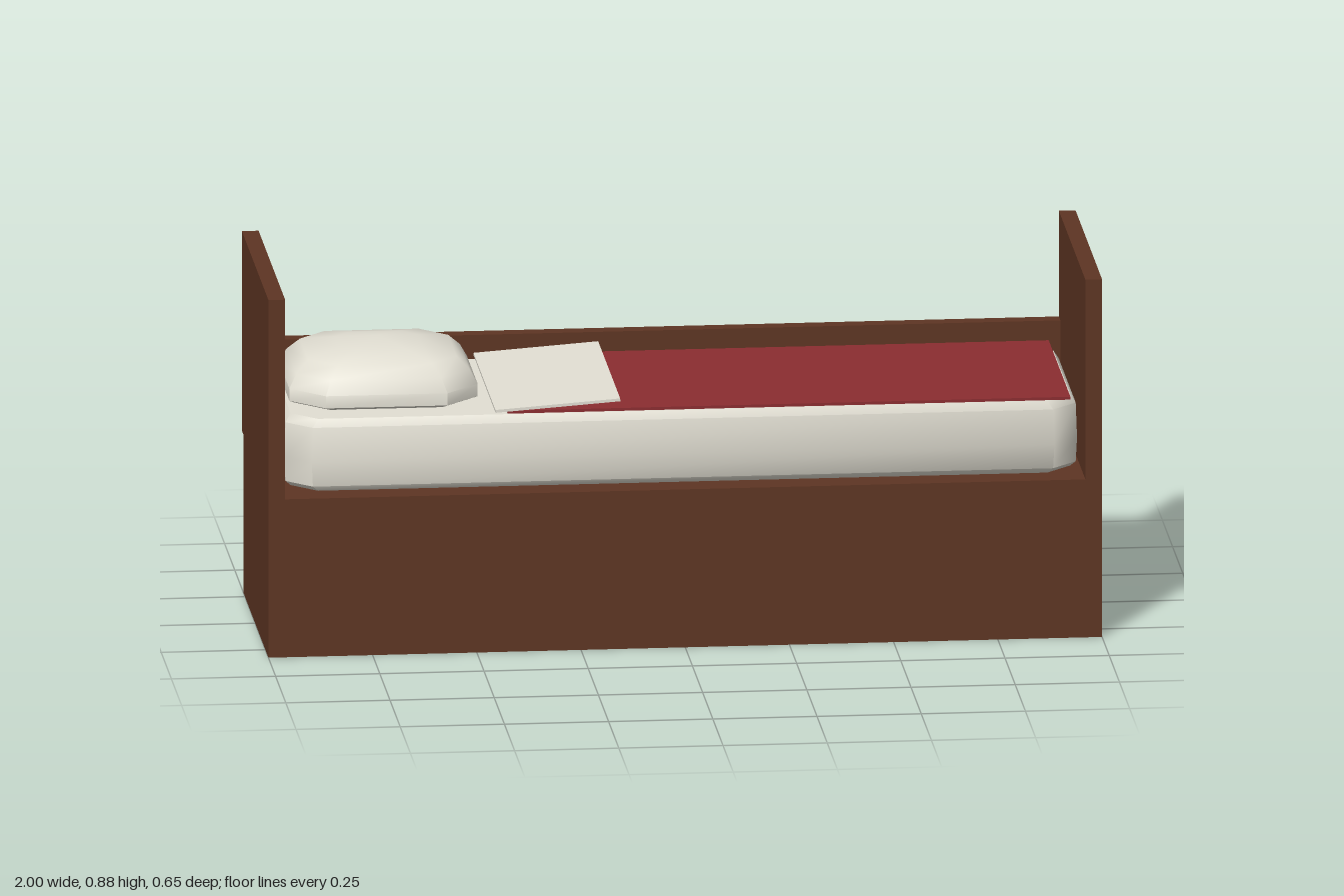
import * as THREE from 'three';
import { toCreasedNormals } from 'three/addons/utils/BufferGeometryUtils.js';

const wood = new THREE.MeshStandardMaterial({ color: 0x5e3523, side: THREE.DoubleSide });
wood.name = 'dark wood';
const linen = new THREE.MeshStandardMaterial({ color: 0xe2dfd3 });
linen.name = 'cream linen';
const red = new THREE.MeshStandardMaterial({ color: 0x8b2d30 });
red.name = 'red blanket';

// Box given by its lower and upper limits on each axis
function box(name, material, [x0, x1], [y0, y1], [z0, z1]) {
  const mesh = new THREE.Mesh(new THREE.BoxGeometry(x1 - x0, y1 - y0, z1 - z0), material);
  mesh.position.set((x0 + x1) / 2, (y0 + y1) / 2, (z0 + z1) / 2);
  mesh.name = name;
  return mesh;
}

// Single thin sheet, turned and placed
function sheet(name, w, h, position, rotation = [0, 0, 0]) {
  const mesh = new THREE.Mesh(new THREE.PlaneGeometry(w, h), wood);
  mesh.position.set(...position);
  mesh.rotation.set(...rotation);
  mesh.name = name;
  return mesh;
}

// Cushion from octagonal rings [y, halfX, halfZ, cornerCut], closed at both ends
function cushion(name, rings, topY, crease) {
  const positions = [];
  const index = [];
  for (const [y, a, b, c] of rings) {
    const outline = [[a, -b + c], [a, b - c], [a - c, b], [-a + c, b],
      [-a, b - c], [-a, -b + c], [-a + c, -b], [a - c, -b]];
    for (const [x, z] of outline) positions.push(x, y, z);
  }
  const top = rings.length * 8;
  positions.push(0, topY, 0, 0, rings[0][0], 0);
  for (let i = 0; i < 8; i++) {
    const j = (i + 1) % 8;
    for (let r = 0; r < rings.length - 1; r++) {
      const a = r * 8 + i, b = r * 8 + j;
      index.push(a, a + 8, b, b, a + 8, b + 8);
    }
    index.push(top - 8 + i, top, top - 8 + j);
    index.push(i, j, top + 1);
  }
  const geometry = new THREE.BufferGeometry();
  geometry.setAttribute('position', new THREE.Float32BufferAttribute(positions, 3));
  geometry.setIndex(index);
  const mesh = new THREE.Mesh(toCreasedNormals(geometry, crease), linen);
  mesh.name = name;
  return mesh;
}

export function createModel() {
  const bed = new THREE.Group();
  bed.name = 'bed';

  // Hollow base, open underneath, with the deck overhanging at the back
  const deckY = 0.39, front = 0.325, back = -0.288;
  const depth = front - back, middle = (front + back) / 2;
  bed.add(sheet('basePanelFront', 2, deckY, [0, deckY / 2, front]));
  bed.add(sheet('basePanelBack', 2, deckY, [0, deckY / 2, back], [0, Math.PI, 0]));
  for (const [side, s] of [['Left', 1], ['Right', -1]]) {
    bed.add(sheet('basePanel' + side, depth, deckY, [s, deckY / 2, middle], [0, s * Math.PI / 2, 0]));
  }
  bed.add(sheet('deck', 2, 0.65, [0, deckY, 0], [-Math.PI / 2, 0, 0]));

  // Head and foot boards, back rail and drawer front
  bed.add(box('headboard', wood, [-1, -0.96], [deckY, 0.883], [-0.325, 0.325]));
  bed.add(box('footboard', wood, [0.96, 1], [deckY, 0.883], [-0.325, 0.325]));
  bed.add(box('backRail', wood, [-0.96, 0.96], [deckY, 0.622], [-0.325, back]));
  bed.add(box('drawerFront', wood, [-0.88, 0.88], [0.05, 0.355], [-0.325, back]));

  // Mattress with softened edges
  bed.add(cushion('mattress', [
    [0.392, 0.935, 0.26, 0.06],
    [0.405, 0.948, 0.27, 0.06],
    [0.465, 0.951, 0.273, 0.06],
    [0.55, 0.948, 0.27, 0.06],
    [0.57, 0.935, 0.262, 0.06],
  ], 0.571, 0.8));

  // Blanket and its turned-back sheet, lifted at the fold
  bed.add(box('blanket', red, [-0.42, 0.93], [0.572, 0.579], [-0.268, 0.265]));
  const fold = box('foldedSheet', linen, [-0.45, -0.15], [0.586, 0.593], [-0.271, 0.268]);
  fold.rotation.z = 0.07;
  bed.add(fold);

  // Domed pillow
  const pillow = cushion('pillow', [
    [0.575, 0.215, 0.2, 0.08],
    [0.582, 0.226, 0.212, 0.08],
    [0.612, 0.226, 0.212, 0.08],
    [0.645, 0.208, 0.194, 0.075],
    [0.674, 0.178, 0.164, 0.065],
    [0.69, 0.1, 0.09, 0.04],
  ], 0.704, 0.75);
  pillow.position.x = -0.705;
  bed.add(pillow);

  return bed;
}
